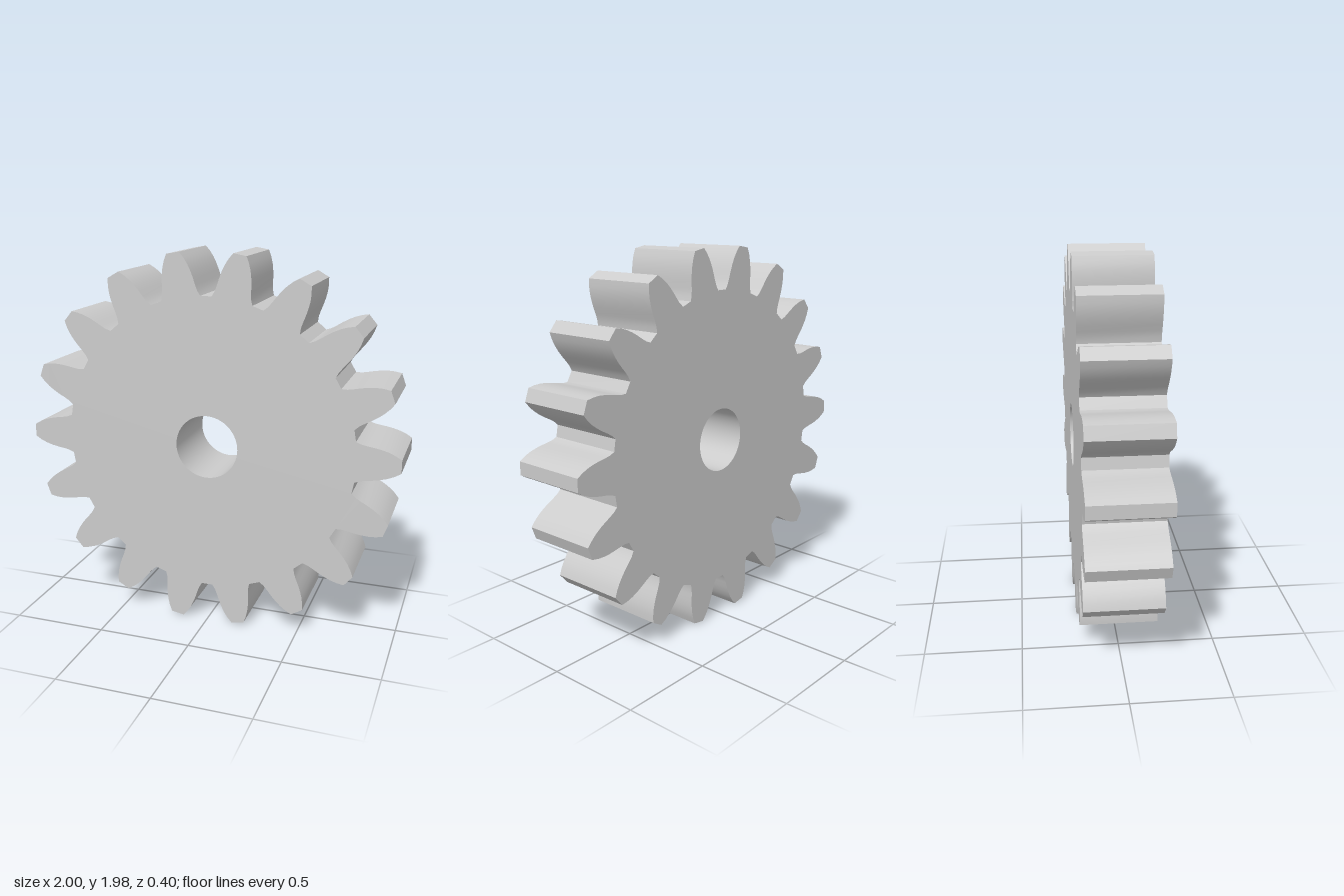
import * as THREE from 'three';
import { toCreasedNormals } from 'three/addons/utils/BufferGeometryUtils.js';

const TEETH = 18;
const CENTER_Y = 0.99;
const THICKNESS = 0.4;
const BORE_RADIUS = 0.167;

// One tooth flank from root to tip: [distance along the tooth axis, half width]
const FLANK = [
  [0.773, 0.106], [0.8, 0.095], [0.83, 0.089], [0.865, 0.084],
  [0.9, 0.077], [0.935, 0.067], [0.968, 0.053], [1, 0.034],
];

// Closed outline of the gear, counter-clockwise; straight root lands join the teeth
function gearOutline() {
  const tooth = [
    ...FLANK.map(([r, w]) => new THREE.Vector2(r, -w)),
    ...FLANK.map(([r, w]) => new THREE.Vector2(r, w)).reverse(),
  ];
  const origin = new THREE.Vector2();
  const points = [];
  for (let i = 0; i < TEETH; i++) {
    const angle = (i / TEETH) * Math.PI * 2;
    for (const p of tooth) points.push(p.clone().rotateAround(origin, angle));
  }
  return points;
}

export function createModel() {
  const group = new THREE.Group();
  group.name = 'spurGear';

  // Toothed disc with a round shaft bore
  const shape = new THREE.Shape(gearOutline());
  shape.holes.push(new THREE.Path().absarc(0, 0, BORE_RADIUS, 0, Math.PI * 2, true));

  const geometry = new THREE.ExtrudeGeometry(shape, {
    depth: THICKNESS,
    bevelEnabled: false,
    curveSegments: 48,
  });
  geometry.translate(0, CENTER_Y, -THICKNESS / 2);

  const gear = new THREE.Mesh(
    toCreasedNormals(geometry, 0.4),
    new THREE.MeshStandardMaterial({ color: 0xcccccc }),
  );
  gear.name = 'gearWheel';
  group.add(gear);
  return group;
}
